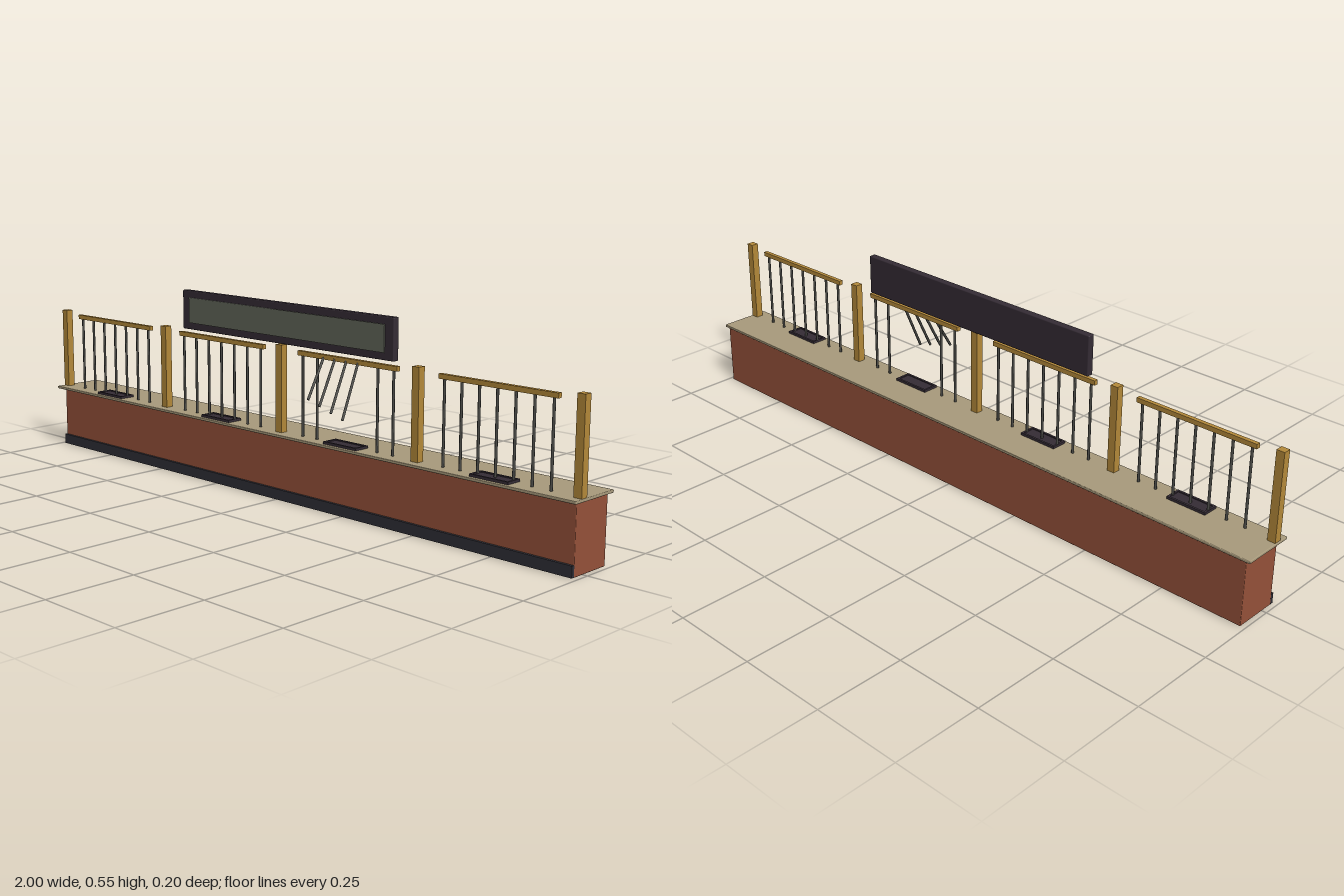
import * as THREE from 'three';
import { RoundedBoxGeometry } from 'three/addons/geometries/RoundedBoxGeometry.js';

const mat = (name, color) => {
  const m = new THREE.MeshStandardMaterial({ color });
  m.name = name;
  return m;
};

export function createModel() {
  const brick = mat('red brown wood', 0x96523a);
  const stone = mat('beige counter', 0xa99b7c);
  const dark = mat('dark plum', 0x352c35);
  const kick = mat('dark base', 0x2f2f37);
  const brass = mat('brass', 0xb58a3a);
  const steel = mat('bar steel', 0x4a4a46);
  const panel = mat('sign panel grey', 0x62665a);

  const model = new THREE.Group();
  model.name = 'tellerCounter';

  // Box given by its min and max corners; optional rounded edges
  const box = (name, material, [x0, y0, z0], [x1, y1, z1], round = 0, parent = model) => {
    const size = [x1 - x0, y1 - y0, z1 - z0];
    const geo = round ? new RoundedBoxGeometry(...size, 2, round) : new THREE.BoxGeometry(...size);
    const mesh = new THREE.Mesh(geo, material);
    mesh.position.set((x0 + x1) / 2, (y0 + y1) / 2, (z0 + z1) / 2);
    mesh.name = name;
    parent.add(mesh);
    return mesh;
  };

  // Thin round bar between two points
  const bar = (name, a, b, parent) => {
    const from = new THREE.Vector3(...a), to = new THREE.Vector3(...b);
    const dir = to.clone().sub(from);
    const mesh = new THREE.Mesh(new THREE.CylinderGeometry(0.0038, 0.0038, dir.length(), 8), steel);
    mesh.position.copy(from).add(to).multiplyScalar(0.5);
    mesh.quaternion.setFromUnitVectors(new THREE.Vector3(0, 1, 0), dir.normalize());
    mesh.name = name;
    parent.add(mesh);
  };

  // Counter body, kick board and top
  box('counterBody', brick, [-0.987, 0, -0.092], [0.987, 0.183, 0.037], 0.002);
  box('kickBoard', kick, [-0.987, 0.001, 0.036], [0.987, 0.031, 0.045]);
  box('counterTop', stone, [-1, 0.183, -0.097], [1, 0.191, 0.059], 0.002);

  // Posts between the windows
  for (let i = -2; i <= 2; i++) {
    const x = i * 0.493;
    box('post', brass, [x - 0.0115, 0.191, 0.011], [x + 0.0115, 0.437, 0.033]);
  }

  // Four grilles, each with a rail, bars and a tray; one is bent open
  const z = 0.021;
  for (let bay = 0; bay < 4; bay++) {
    const cx = (bay - 1.5) * 0.494;
    const grille = new THREE.Group();
    grille.name = 'grille';
    model.add(grille);
    box('topRail', brass, [cx - 0.179, 0.415, z - 0.006], [cx + 0.179, 0.428, z + 0.006], 0, grille);
    const broken = bay === 2;
    for (let i = 0; i < 7; i++) {
      if (broken && i > 1 && i < 5) continue;
      const x = cx + (i - 3) * 0.0545;
      bar('bar', [x, 0.191, z], [x, 0.418, z], grille);
    }
    if (broken) for (let i = 0; i < 4; i++) {
      const x = 0.164 + i * 0.0415;
      bar('bentBar', [x, 0.42, z + 0.003], [x + 0.012, 0.316 - i * 0.0125, 0.095], grille);
    }

    // Cash tray with a raised rim
    const tray = new THREE.Group();
    tray.name = 'cashTray';
    model.add(tray);
    const x0 = cx - 0.059, x1 = cx + 0.059, z0 = 0.001, z1 = 0.049, y = 0.191, h = 0.198;
    box('trayBase', dark, [x0, y, z0], [x1, 0.195, z1], 0, tray);
    for (const [a, b] of [[x0, x0 + 0.006], [x1 - 0.006, x1]])
      box('trayEnd', dark, [a, y, z0], [b, h, z1], 0, tray);
    for (const [a, b] of [[z0, z0 + 0.006], [z1 - 0.006, z1]])
      box('traySide', dark, [x0 + 0.006, y, a], [x1 - 0.006, h, b], 0, tray);
  }

  // Sign board with a blank panel on its front
  box('signBoard', dark, [-0.411, 0.438, 0.004], [0.411, 0.552, 0.024], 0.003);
  box('signPanel', panel, [-0.381, 0.458, 0.0235], [0.381, 0.532, 0.027]);

  return model;
}
